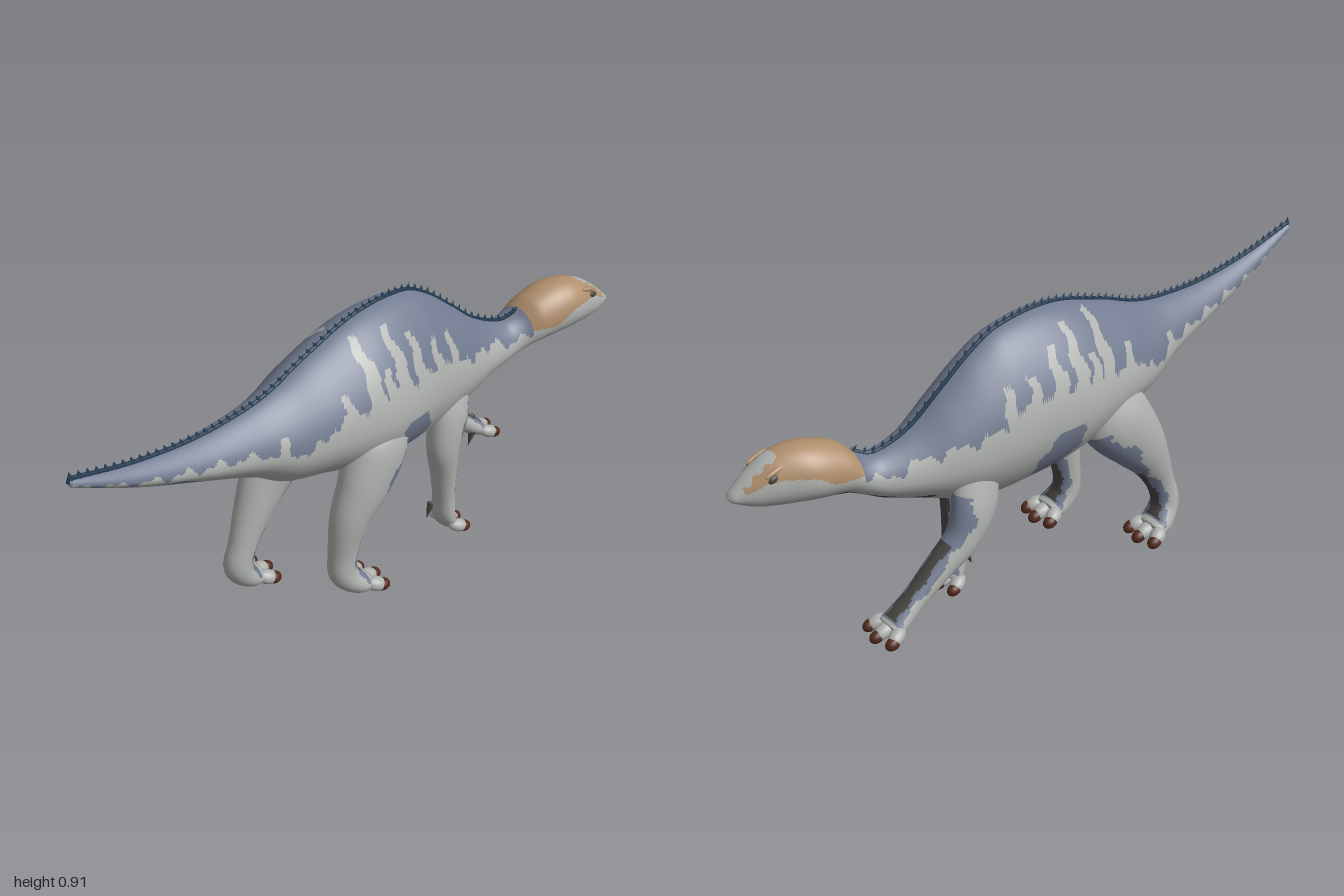
import * as THREE from 'three';
import { mergeGeometries } from 'three/addons/utils/BufferGeometryUtils.js';

const mat = (name, color) => {
  const m = new THREE.MeshStandardMaterial({ color });
  m.name = name;
  return m;
};

// Smooth interpolation of rows keyed on their first column
function sample(rows, k) {
  let i = 0;
  while (i < rows.length - 2 && k > rows[i + 1][0]) i++;
  const a = rows[i], b = rows[i + 1], p = rows[i - 1] || a, q = rows[i + 2] || b;
  const h = b[0] - a[0], t = Math.min(1, Math.max(0, (k - a[0]) / h));
  return a.map((_, c) => {
    const ma = (b[c] - p[c]) / (b[0] - p[0]) * h, mb = (q[c] - a[c]) / (q[0] - a[0]) * h;
    return (2 * t ** 3 - 3 * t * t + 1) * a[c] + (t ** 3 - 2 * t * t + t) * ma
      + (3 * t * t - 2 * t ** 3) * b[c] + (t ** 3 - t * t) * mb;
  });
}

// Closed skin over rings; paint(centre, u, v) picks the material of each triangle
const GREY = 0, BLUE = 1, TAN = 2, DARK = 3;
function skin(nu, nv, point, paint) {
  const pos = [], lists = [[], [], [], []];
  for (let i = 0; i <= nu; i++)
    for (let j = 0; j < nv; j++) pos.push(...point(i / nu, j / nv * Math.PI * 2));
  const corner = (n) => new THREE.Vector3().fromArray(pos, n * 3);
  for (let i = 0; i < nu; i++) for (let j = 0; j < nv; j++) {
    const k = (j + 1) % nv, a = i * nv + j, b = i * nv + k, c = a + nv, d = b + nv;
    for (const tri of [[a, b, c], [b, d, c]]) {
      const mid = corner(tri[0]).add(corner(tri[1])).add(corner(tri[2])).divideScalar(3);
      lists[paint(mid, (i + 0.5) / nu, (j + 0.5) / nv * Math.PI * 2)].push(...tri);
    }
  }
  const g = new THREE.BufferGeometry();
  g.setAttribute('position', new THREE.Float32BufferAttribute(pos, 3));
  g.setIndex(lists.flat());
  let start = 0;
  lists.forEach((l, m) => { if (l.length) g.addGroup(start, l.length, m); start += l.length; });
  g.computeVertexNormals();
  return g;
}

// Body sections: x, top, bottom, half width, centre z
const BODY = [
  [-1, 0.842, 0.818, 0.012, 0], [-0.8, 0.79, 0.715, 0.04, 0], [-0.6, 0.763, 0.63, 0.068, 0],
  [-0.42, 0.768, 0.55, 0.1, 0], [-0.32, 0.788, 0.485, 0.13, 0], [-0.2, 0.835, 0.45, 0.163, 0],
  [0, 0.893, 0.385, 0.192, 0], [0.2, 0.885, 0.368, 0.172, -0.005], [0.3, 0.835, 0.378, 0.156, -0.005],
  [0.4, 0.755, 0.41, 0.134, 0], [0.5, 0.672, 0.45, 0.102, 0.01], [0.6, 0.628, 0.485, 0.074, 0.03],
  [0.65, 0.64, 0.51, 0.07, 0.045], [0.7, 0.685, 0.53, 0.08, 0.064], [0.8, 0.714, 0.542, 0.088, 0.085],
  [0.88, 0.7, 0.548, 0.07, 0.105], [0.94, 0.66, 0.558, 0.048, 0.12], [1, 0.602, 0.585, 0.016, 0.135],
];
// The trunk narrows toward spine and keel; the head stays round
function bodyPoint(x, v, shrink = 1) {
  const [, top, bottom, w, z] = sample(BODY, x);
  const mid = bottom + (top - bottom) * 0.45, c = Math.cos(v) * shrink;
  const pinch = 1 - 0.28 * c * c * (1 - THREE.MathUtils.smoothstep(x, 0.5, 0.7));
  return [x, mid + c * (c > 0 ? top - mid : mid - bottom), z + Math.sin(v) * w * shrink * pinch];
}

// Markings: lower edge of the blue back, pale streaks [x, top] and edge of the tan crown
const BLUE_EDGE = [[-1, 0.82], [-0.8, 0.745], [-0.45, 0.675], [-0.3, 0.635], [-0.2, 0.69],
  [0.2, 0.7], [0.3, 0.655], [0.52, 0.605], [0.6, 0.575], [0.68, 0.6]];
const STREAKS = [[-0.37, 0.7], [-0.16, 0.75], [-0.065, 0.865], [-0.015, 0.78],
  [0.04, 0.865], [0.115, 0.83], [0.2, 0.775], [0.28, 0.76]];
const CROWN_EDGE = [[0.66, 0.6], [0.75, 0.607], [0.8, 0.638], [0.9, 0.645], [0.96, 0.615]];
function paintBody(p, u, v) {
  const down = -Math.cos(v);
  // Dark throat
  if (p.x > 0.47 && p.x < 0.74 && down > 0.72 + 0.08 * Math.sin(p.x * 50)) return DARK;
  if (p.x > 0.665) {
    const side = Math.abs(p.z - sample(BODY, p.x)[4]);
    const snout = p.x > 0.87 && side < 0.026 + 0.005 * Math.sin(p.x * 200);
    return p.x < 0.965 && p.y > sample(CROWN_EDGE, p.x)[1] && !snout ? TAN : GREY;
  }
  // Blue flank in front of the thigh and blue patch under the tail
  if (Math.hypot((p.x - 0.1 + 0.3 * (p.y - 0.5)) * 1.2, p.y - 0.51) < 0.085 + 0.008 * Math.sin(p.y * 90)) return BLUE;
  if (p.x > -0.8 && p.x < -0.56 && down > 0.6 + 0.2 * Math.sin(p.x * 30)) return BLUE;
  const shift = p.z < 0 ? 0.02 : 0;
  for (const [x, top] of STREAKS) {
    const d = Math.abs(p.x + shift - x + 0.006 * Math.sin(p.y * 70));
    if (p.y < top && d < 0.024 - 0.012 * THREE.MathUtils.smoothstep(p.y, top - 0.12, top)) return GREY;
  }
  return p.y > sample(BLUE_EDGE, p.x)[1] + 0.01 * Math.sin(p.x * 63) + 0.007 * Math.sin(p.x * 131) ? BLUE : GREY;
}

// Blue runs down the front of each leg, with a dark streak in its middle
function paintLeg(p, u, v) {
  const front = Math.cos(v);
  if (u > 0.4 && u < 0.9 && front > 0.86 + 0.06 * Math.sin(u * 40)) return DARK;
  return u > 0.12 && u < 0.93 && front > 0.5 + 0.16 * Math.sin(u * 19) + 0.08 * Math.sin(u * 47) ? BLUE : GREY;
}

// Leg thickness from hip to foot, shared by left and right: z, fore-aft radius, sideways radius
const HIND = [[0.082, 0.09, 0.06], [0.115, 0.112, 0.08], [0.129, 0.092, 0.07], [0.127, 0.064, 0.057],
  [0.122, 0.046, 0.044], [0.124, 0.045, 0.046], [0.132, 0.038, 0.055], [0.136, 0.025, 0.054]];
const FRONT = [[0.07, 0.075, 0.045], [0.1, 0.074, 0.053], [0.108, 0.056, 0.05], [0.103, 0.04, 0.044],
  [0.1, 0.033, 0.039], [0.096, 0.03, 0.045], [0.093, 0.025, 0.051]];
// Centre line of each leg in the pose: x, y
const HIND_LEFT = [[0, 0.64], [-0.025, 0.535], [-0.088, 0.42], [-0.145, 0.32],
  [-0.17, 0.2], [-0.17, 0.125], [-0.135, 0.08], [-0.095, 0.066]];
const HIND_RIGHT = [[-0.09, 0.63], [-0.145, 0.515], [-0.23, 0.4], [-0.295, 0.3],
  [-0.345, 0.2], [-0.368, 0.12], [-0.335, 0.065], [-0.29, 0.046]];
const FRONT_LEFT = [[0.31, 0.58], [0.302, 0.47], [0.277, 0.36], [0.287, 0.25],
  [0.297, 0.15], [0.302, 0.08], [0.322, 0.032]];
const FRONT_RIGHT = [[0.34, 0.56], [0.365, 0.43], [0.415, 0.335], [0.5, 0.265],
  [0.58, 0.2], [0.64, 0.152], [0.675, 0.13]];

export function createModel() {
  const group = new THREE.Group();
  const grey = mat('pale grey skin', 0xadb0ac), blue = mat('blue grey skin', 0x727b90);
  const tan = mat('tan crown', 0xae8d6b), navy = mat('navy spines', 0x20384e);
  const brown = mat('brown claws', 0x52291b), dark = mat('dark grey markings', 0x484642);
  const skins = [grey, blue, tan, dark];
  const add = (parent, name, geo, material) => {
    const m = new THREE.Mesh(geo, material);
    m.name = name;
    parent.add(m);
    return m;
  };
  const ball = new THREE.SphereGeometry(1, 16, 12);

  // Body, neck, head and tail in one skin
  add(group, 'body', skin(300, 80, (u, v) => bodyPoint(-1 + 2 * u, v, u === 0 || u === 1 ? 0.01 : 1), paintBody), skins);

  // One leg with three fanned toes and claws
  function addLeg(name, path, profile, side, size) {
    const leg = new THREE.Group();
    leg.name = name;
    group.add(leg);
    const rows = path.map(([x, y], i) => [i, x, y, profile[i][0] * side, profile[i][1], profile[i][2]]);
    const last = rows.length - 1;
    const point = (u, v) => {
      const k = u * last;
      const [, x, y, z, r, rz] = sample(rows, k);
      const a = sample(rows, Math.max(0, k - 0.1)), b = sample(rows, Math.min(last, k + 0.1));
      const l = Math.hypot(b[1] - a[1], b[2] - a[2]), s = u === 0 || u === 1 ? 0.01 : 1;
      const f = Math.cos(v) * r * s;
      return [x - (b[2] - a[2]) / l * f, y + (b[1] - a[1]) / l * f, z + Math.sin(v) * rz * s];
    };
    add(leg, 'limb', skin(72, 44, point, paintLeg), skins);
    const [, x, y, z] = rows[last];
    for (const k of [-1, 0, 1]) {
      const tip = new THREE.Vector3(x + 0.04 - 0.015 * Math.abs(k), y - 0.009, z + k * 0.055);
      const root = new THREE.Vector3(x - 0.015, y + 0.008, z + k * 0.038);
      const toe = add(leg, 'toe', ball, grey);
      toe.position.lerpVectors(root, tip, 0.5);
      toe.scale.set(0.022 * size, 0.021 * size, root.distanceTo(tip) * 0.5 + 0.012);
      toe.lookAt(tip);
      const claw = add(leg, 'claw', ball, brown);
      claw.position.copy(tip);
      claw.scale.set(0.024, 0.018, 0.018).multiplyScalar(size);
      claw.rotation.z = -0.3;
    }
    return leg;
  }
  addLeg('leftHindLeg', HIND_LEFT, HIND, 1, 1.1);
  addLeg('rightHindLeg', HIND_RIGHT, HIND, -1, 1.1);
  const frontLegs = [addLeg('leftFrontLeg', FRONT_LEFT, FRONT, 1, 1), addLeg('rightFrontLeg', FRONT_RIGHT, FRONT, -1, 1)];

  // Thumb spikes on the inner side of the front feet
  [[0.263, 0.085, 0.07], [0.615, 0.118, -0.07]].forEach((at, i) => {
    const spike = add(frontLegs[i], 'thumbSpike', new THREE.ConeGeometry(0.013, 0.055, 10), dark);
    spike.position.set(...at);
    spike.rotation.z = Math.PI - 0.35;
  });

  // Row of small spines along the back, over a thin ridge
  const spines = [], ridge = [];
  for (let x = -0.99; x < 0.66; x += 0.027) {
    const [, y, z] = bodyPoint(x, 0);
    const slope = Math.atan2(bodyPoint(x + 0.01, 0)[1] - bodyPoint(x - 0.01, 0)[1], 0.02);
    spines.push(new THREE.ConeGeometry(0.014, 0.032, 6).scale(1, 1, 0.7).rotateZ(slope + 0.35).translate(x, y + 0.006, z));
    ridge.push(new THREE.Vector3(x, y, z));
  }
  add(group, 'backSpines', mergeGeometries(spines), navy);
  add(group, 'backRidge', new THREE.TubeGeometry(new THREE.CatmullRomCurve3(ridge), 120, 0.007, 6), navy);

  // Eyes under low brow ridges
  for (const s of [-1, 1]) {
    const place = (name, x, v, scale, material) => {
      const m = add(group, name, ball, material);
      m.position.set(...bodyPoint(x, s * v));
      m.scale.set(...scale);
      m.rotation.z = -0.3;
    };
    place('eye', 0.9, 1.02, [0.017, 0.01, 0.007], dark);
    place('brow', 0.89, 0.78, [0.035, 0.008, 0.008], tan);
  }
  return group;
}
